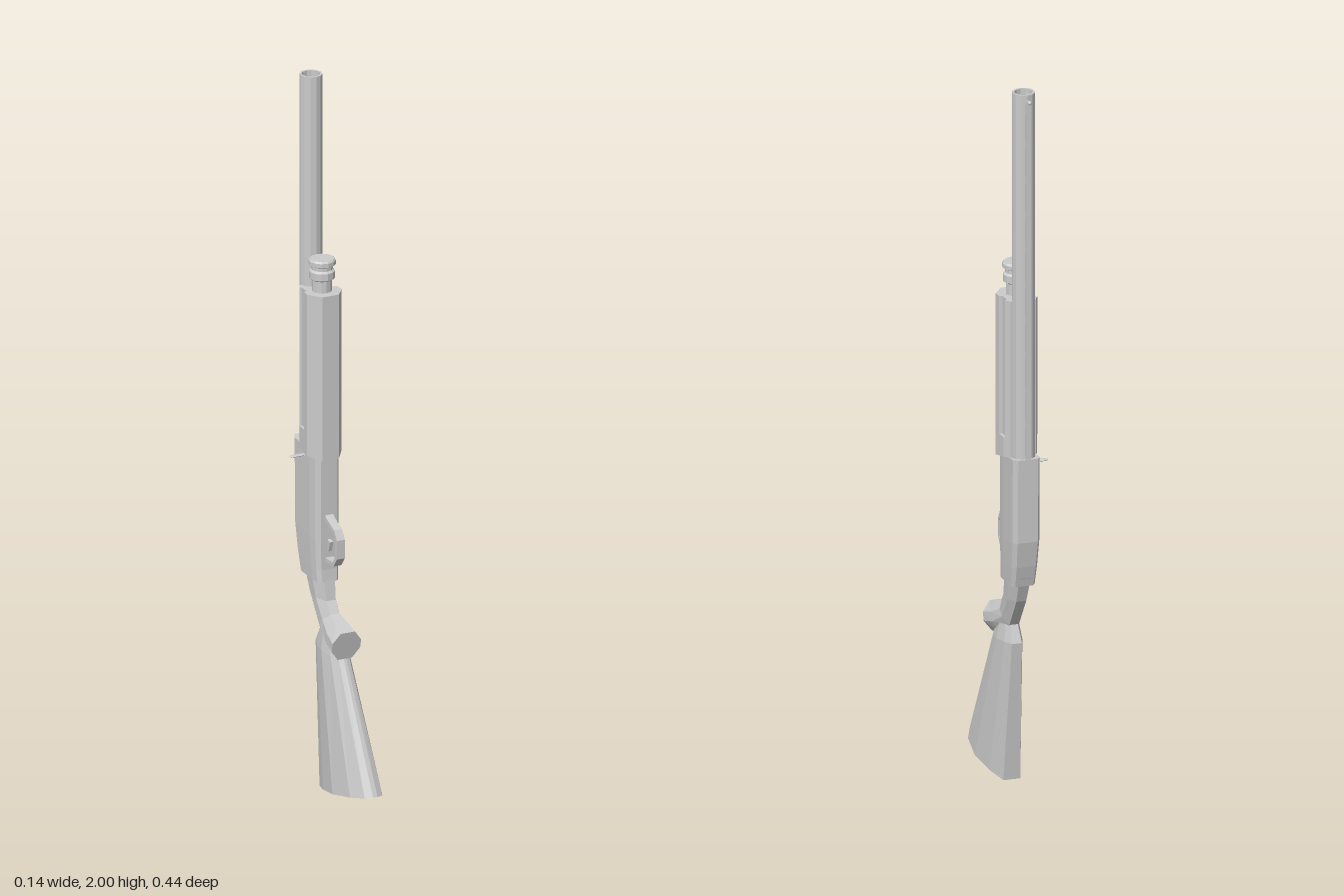
import * as THREE from 'three';

const mat = new THREE.MeshStandardMaterial({ color: 0xcccccc, flatShading: true, side: THREE.DoubleSide });

function add(group, name, geometry, x = 0, y = 0, z = 0) {
  const mesh = new THREE.Mesh(geometry, mat);
  mesh.name = name;
  mesh.position.set(x, y, z);
  group.add(mesh);
  return mesh;
}

// Loft through sections [frontZ, frontY, backZ, backY, halfWidth], listed from bottom to top.
// The profile is a list of [position from front to back, fraction of the half width].
function loft(sections, profile) {
  const rings = sections.map(([fz, fy, bz, by, w]) => {
    const point = (t, k) => [w * k, fy + (by - fy) * t, fz + (bz - fz) * t];
    return [
      ...profile.map(([t, k]) => point(t, k)),
      ...[...profile].reverse().map(([t, k]) => point(t, -k)),
    ];
  });
  const n = rings[0].length;
  const out = [];
  const tri = (a, b, c) => out.push(...a, ...b, ...c);
  for (let s = 0; s < rings.length - 1; s++) {
    const a = rings[s], b = rings[s + 1];
    for (let i = 0; i < n; i++) {
      const j = (i + 1) % n;
      tri(a[i], a[j], b[j]);
      tri(a[i], b[j], b[i]);
    }
  }
  const bottom = rings[0], top = rings[rings.length - 1];
  for (let i = 1; i < n - 1; i++) {
    tri(bottom[0], bottom[i + 1], bottom[i]);
    tri(top[0], top[i], top[i + 1]);
  }
  const geometry = new THREE.BufferGeometry();
  geometry.setAttribute('position', new THREE.Float32BufferAttribute(out, 3));
  geometry.computeVertexNormals();
  return geometry;
}

const lathe = (points, sides) =>
  new THREE.LatheGeometry(points.map(([r, y]) => new THREE.Vector2(r, y)), sides);

// Upright prism from a mirrored half outline of [x, distance behind z = 0]
function prism(half, y0, y1) {
  const outline = [...half, ...[...half].reverse().map(([x, d]) => [-x, d])];
  const shape = new THREE.Shape(outline.map(([x, d]) => new THREE.Vector2(x, d)));
  const geometry = new THREE.ExtrudeGeometry(shape, { depth: y1 - y0, bevelEnabled: false });
  return geometry.rotateX(-Math.PI / 2).translate(0, y0, 0);
}

export function createModel() {
  const model = new THREE.Group();
  model.name = 'longGun';
  const body = new THREE.Group();
  body.name = 'body';
  body.position.x = 0.008;
  model.add(body);

  // Shoulder stock, widening to the butt
  add(body, 'stock', loft([
    [0.216, 0.058, -0.065, 0.003, 0.057],
    [0.037, 0.395, -0.107, 0.405, 0.034],
    [0.0, 0.47, -0.085, 0.452, 0.024],
  ], [[0, 0.12], [0.035, 0.47], [0.2, 0.83], [0.5, 1], [0.8, 0.75], [1, 0.42]]));

  // Curved grip from its end cap up to the receiver
  add(body, 'grip', loft([
    [0.055, 0.475, 0.037, 0.395, 0.043],
    [0.018, 0.489, -0.02, 0.41, 0.037],
    [-0.02, 0.503, -0.085, 0.452, 0.027],
    [-0.044, 0.535, -0.143, 0.538, 0.028],
    [-0.054, 0.6, -0.175, 0.615, 0.033],
  ], [[0, 0.5], [0.35, 1], [0.65, 1], [1, 0.5]]));

  // Receiver with bevelled edges
  add(body, 'receiver', loft([
    [-0.052, 0.585, -0.168, 0.59, 0.034],
    [-0.055, 0.62, -0.184, 0.65, 0.036],
    [-0.055, 0.7, -0.198, 0.725, 0.038],
    [-0.055, 0.945, -0.202, 0.963, 0.038],
  ], [[0, 0.65], [0.1, 0.92], [0.3, 1], [0.88, 1], [1, 0.75]]));

  // Barrel with a bore narrowing inwards
  add(body, 'barrel', lathe([
    [0, 1.7], [0.0125, 1.7], [0.025, 1.97], [0.025, 2], [0.031, 2], [0.031, 0.94],
  ].reverse(), 12), 0, 0, -0.162);

  // Tube under the barrel with its stepped cap
  add(body, 'magazineTube', lathe([
    [0, 0.93], [0.027, 0.93], [0.027, 1.435], [0.035, 1.44], [0.035, 1.46], [0.029, 1.465],
    [0.029, 1.475], [0.037, 1.479], [0.037, 1.49], [0.033, 1.495], [0, 1.495],
  ], 12), 0, 0, -0.097);

  // Sliding fore-end: solid lower end, grooved sides above, slanted lower edge
  const lower = prism([[0.025, 0.046], [0.052, 0.083], [0.047, 0.135], [0.036, 0.158]], 0.94, 1.01);
  const p = lower.attributes.position;
  for (let i = 0; i < p.count; i++) {
    if (p.getY(i) < 0.95) p.setY(i, 0.936 + (-0.046 - p.getZ(i)) * 0.2);
  }
  lower.computeVertexNormals();
  add(body, 'foreEndBase', lower);
  add(body, 'foreEndGrip', prism([
    [0.025, 0.046], [0.052, 0.083], [0.05, 0.106], [0.041, 0.109],
    [0.039, 0.138], [0.046, 0.141], [0.036, 0.158],
  ], 1.01, 1.403));

  // Ventilated rib on posts, and the bead sight at its end
  add(body, 'rib', new THREE.BoxGeometry(0.014, 1.025, 0.005), 0, 1.4725, -0.2005);
  const pitch = 0.1;
  for (let i = 0; i < 10; i++) {
    add(body, 'ribPost', new THREE.BoxGeometry(0.012, pitch - 0.018, 0.012), 0, 1.01 + i * pitch, -0.194);
  }
  add(body, 'sightStem', new THREE.BoxGeometry(0.004, 0.006, 0.012), 0, 1.985, -0.206);
  add(body, 'sightBead', new THREE.SphereGeometry(0.006, 8, 6), 0, 1.985, -0.213);

  // Trigger guard: a bent strap swept across x
  const outer = [[-0.06, 0.78], [-0.045, 0.768], [-0.002, 0.75], [0.014, 0.725],
    [0.014, 0.672], [-0.006, 0.646], [-0.06, 0.643]];
  const inner = [[-0.06, 0.655], [-0.012, 0.656], [0.004, 0.676],
    [0.004, 0.72], [-0.008, 0.74], [-0.046, 0.755], [-0.06, 0.76]];
  const strap = new THREE.Shape([...outer, ...inner].map(([z, y]) => new THREE.Vector2(-z, y)));
  const guard = new THREE.ExtrudeGeometry(strap, { depth: 0.024, bevelEnabled: false });
  guard.rotateY(Math.PI / 2).translate(-0.012, 0, 0);
  add(body, 'triggerGuard', guard);
  add(body, 'trigger', new THREE.BoxGeometry(0.01, 0.03, 0.016), 0, 0.69, -0.053).rotation.x = 0.3;

  // Flat bolt handle on the right side
  const handle = add(body, 'boltHandle', new THREE.CapsuleGeometry(0.008, 0.034, 3, 8), -0.055, 0.93, -0.13);
  handle.rotation.z = Math.PI / 2;
  handle.scale.x = 0.35;

  return model;
}
